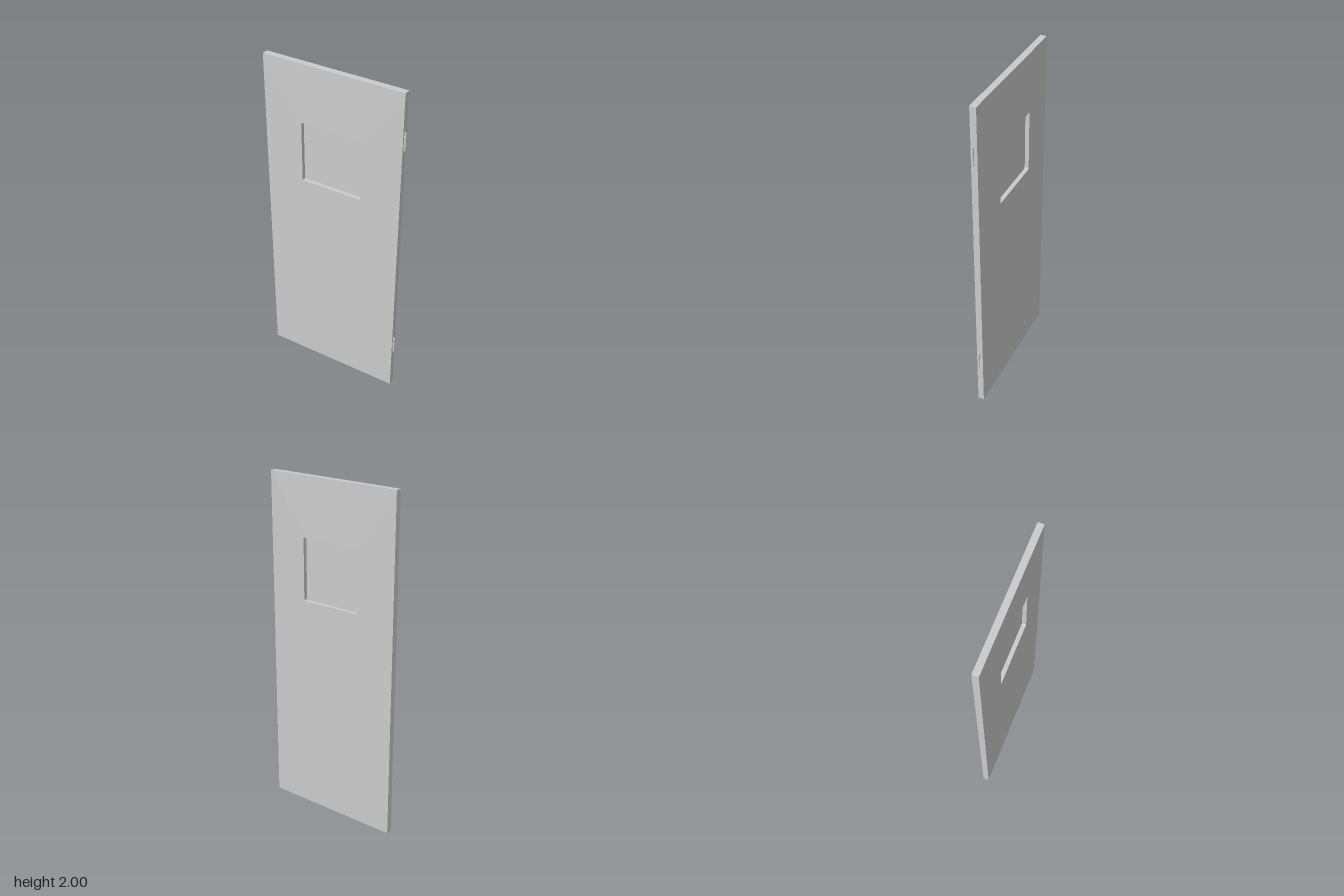
import * as THREE from 'three';

const material = new THREE.MeshStandardMaterial({ color: 0xcccccc, flatShading: true });

// Rectangle loop with small rounded corners, counter-clockwise seen from +z
function rectLoop(cx, cy, halfW, halfH, radius, z) {
  const points = [];
  [[1, 1], [-1, 1], [-1, -1], [1, -1]].forEach(([sx, sy], corner) => {
    for (let i = 0; i < 3; i++) {
      const a = (corner + i / 2) * Math.PI / 2;
      points.push([
        cx + sx * (halfW - radius) + radius * Math.cos(a),
        cy + sy * (halfH - radius) + radius * Math.sin(a), z]);
    }
  });
  return points;
}

// Joins a closed cycle of loops into one faceted surface
function joinLoops(loops) {
  const positions = [];
  loops.forEach((a, k) => {
    const b = loops[(k + 1) % loops.length];
    a.forEach((p, i) => {
      const j = (i + 1) % a.length;
      positions.push(...p, ...a[j], ...b[j], ...p, ...b[j], ...b[i]);
    });
  });
  const geometry = new THREE.BufferGeometry();
  geometry.setAttribute('position', new THREE.Float32BufferAttribute(positions, 3));
  geometry.computeVertexNormals();
  return geometry;
}

function addMesh(parent, name, geometry, x = 0, y = 0, z = 0) {
  const mesh = new THREE.Mesh(geometry, material);
  mesh.name = name;
  mesh.position.set(x, y, z);
  parent.add(mesh);
  return mesh;
}

export function createModel() {
  const door = new THREE.Group();
  door.name = 'door';

  // Slab: thin at the rim, swelling towards the window on both faces
  const cx = -0.005, windowY = 1.48, half = 0.182;
  const outer = z => rectLoop(cx, 1, 0.413, 1, 0.0005, z);
  const inner = z => rectLoop(cx, windowY, half, half, 0.006, z);
  addMesh(door, 'doorPanel', joinLoops([inner(-0.026), outer(-0.018), outer(0.018), inner(0.026)]));

  // Pane set in the middle of the opening
  addMesh(door, 'windowPane', new THREE.BoxGeometry(half * 2, half * 2, 0.004), cx, windowY, 0);

  // Hinges on the left edge: leaf plus knuckle
  for (const y of [0.325, 1.725]) {
    const hinge = new THREE.Group();
    hinge.name = 'hinge';
    hinge.position.set(0.408, y, 0.004);
    addMesh(hinge, 'hingeLeaf', new THREE.BoxGeometry(0.01, 0.105, 0.008));
    addMesh(hinge, 'hingeKnuckle', new THREE.CylinderGeometry(0.005, 0.005, 0.105, 8), 0.005);
    door.add(hinge);
  }
  return door;
}
